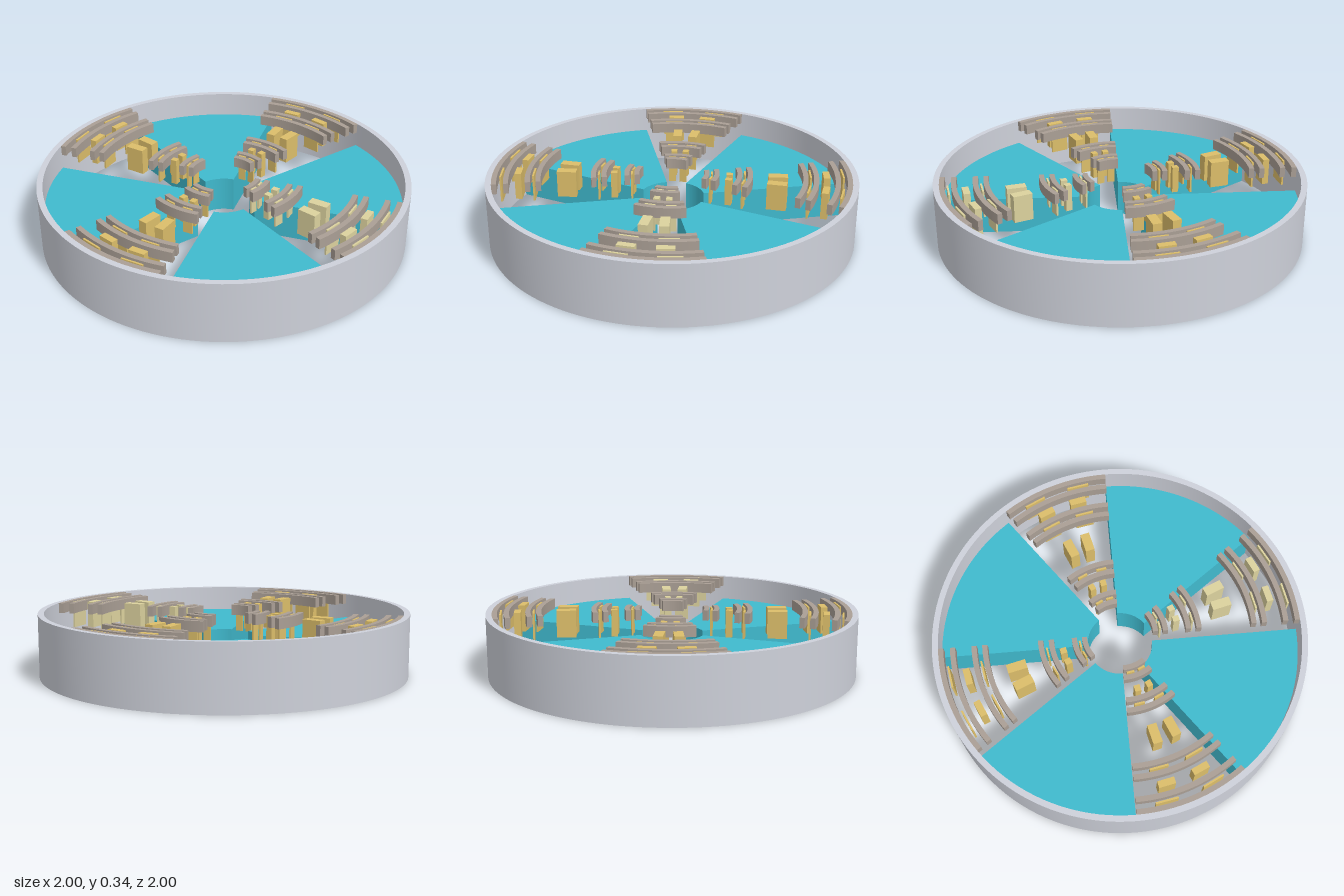
import * as THREE from 'three';
import { toCreasedNormals } from 'three/addons/utils/BufferGeometryUtils.js';

const DEG = Math.PI / 180;
const mat = (name, color) => new THREE.MeshStandardMaterial({ name, color });

// Extrude a flat outline (x, -z) upward from y0 to y1, keeping sharp rims and smooth walls
function raise(shape, y0, y1, curveSegments) {
  const g = new THREE.ExtrudeGeometry(shape, { depth: y1 - y0, bevelEnabled: false, curveSegments });
  g.rotateX(-Math.PI / 2).translate(0, y0, 0);
  return toCreasedNormals(g, 0.5);
}

// Slice of an annulus between two radii and two angles (degrees)
function sector(r0, r1, a0, a1, y0, y1) {
  const s = new THREE.Shape();
  s.absarc(0, 0, r1, a0 * DEG, a1 * DEG, false);
  s.absarc(0, 0, r0, a1 * DEG, a0 * DEG, true);
  s.closePath();
  return raise(s, y0, y1, 24);
}

export function createModel() {
  const grey = mat('rim grey', 0xced1da);
  const teal = mat('wedge teal', 0x40bace);
  const brown = mat('rail taupe', 0xaa9f95);
  const gold = mat('block gold', 0xdcbe6a);
  const pale = mat('block pale gold', 0xdcd29e);
  const model = new THREE.Group();
  model.name = 'segmentedRing';

  const add = (parent, name, geometry, material) => {
    const mesh = new THREE.Mesh(geometry, material);
    mesh.name = name;
    parent.add(mesh);
    return mesh;
  };

  const H = 0.34, R = 0.968, HUB = 0.176;

  // Outer rim
  const rim = new THREE.Shape().absarc(0, 0, 1, 0, Math.PI * 2, false);
  rim.holes.push(new THREE.Path().absarc(0, 0, R, 0, Math.PI * 2, true));
  add(model, 'outerRim', raise(rim, 0, H, 64), grey);

  // Shared geometry for the bays
  const wedge = sector(HUB, R, 36, 90, 0, 0.2);
  const rails = [0.176, 0.23, 0.353, 0.41, 0.706, 0.763, 0.877, 0.94]
    .map(r => sector(r, r + 0.028, 0, 36, 0.283, H));

  // [name, radius, angles, radial size, tangential size]
  const blocks = [
    ['innerPlate', 0.217, [10, 26], 0.01, 0.04],
    ['smallBlock', 0.313, [12, 24], 0.035, 0.032],
    ['middlePlate', 0.395, [10, 26], 0.01, 0.055],
    ['largeBlock', 0.573, [13.3, 23], 0.105, 0.05],
    ['outerPlate', 0.747, [10.5, 25.5], 0.01, 0.1],
    ['wideBlock', 0.833, [11.5, 24.5], 0.036, 0.09],
    ['rimPlate', 0.922, [10, 26], 0.01, 0.12],
  ];

  // Four quarters: an open bay of rails and blocks followed by a solid wedge
  for (let q = 0; q < 4; q++) {
    const quarter = new THREE.Group();
    quarter.name = 'quarter' + (q + 1);
    quarter.rotation.y = q * Math.PI / 2;
    model.add(quarter);

    add(quarter, 'wedge', wedge, teal);
    rails.forEach((g, i) => add(quarter, 'curvedRail' + (i + 1), g, brown));

    for (const [name, r, angles, dr, dt] of blocks) {
      const box = new THREE.BoxGeometry(dr, 0.148, dt);
      for (const a of angles) {
        const m = add(quarter, name, box, q === 0 ? pale : gold);
        m.position.set(r * Math.cos(a * DEG), 0.262, -r * Math.sin(a * DEG));
        m.rotation.y = a * DEG;
      }
    }
  }
  return model;
}
